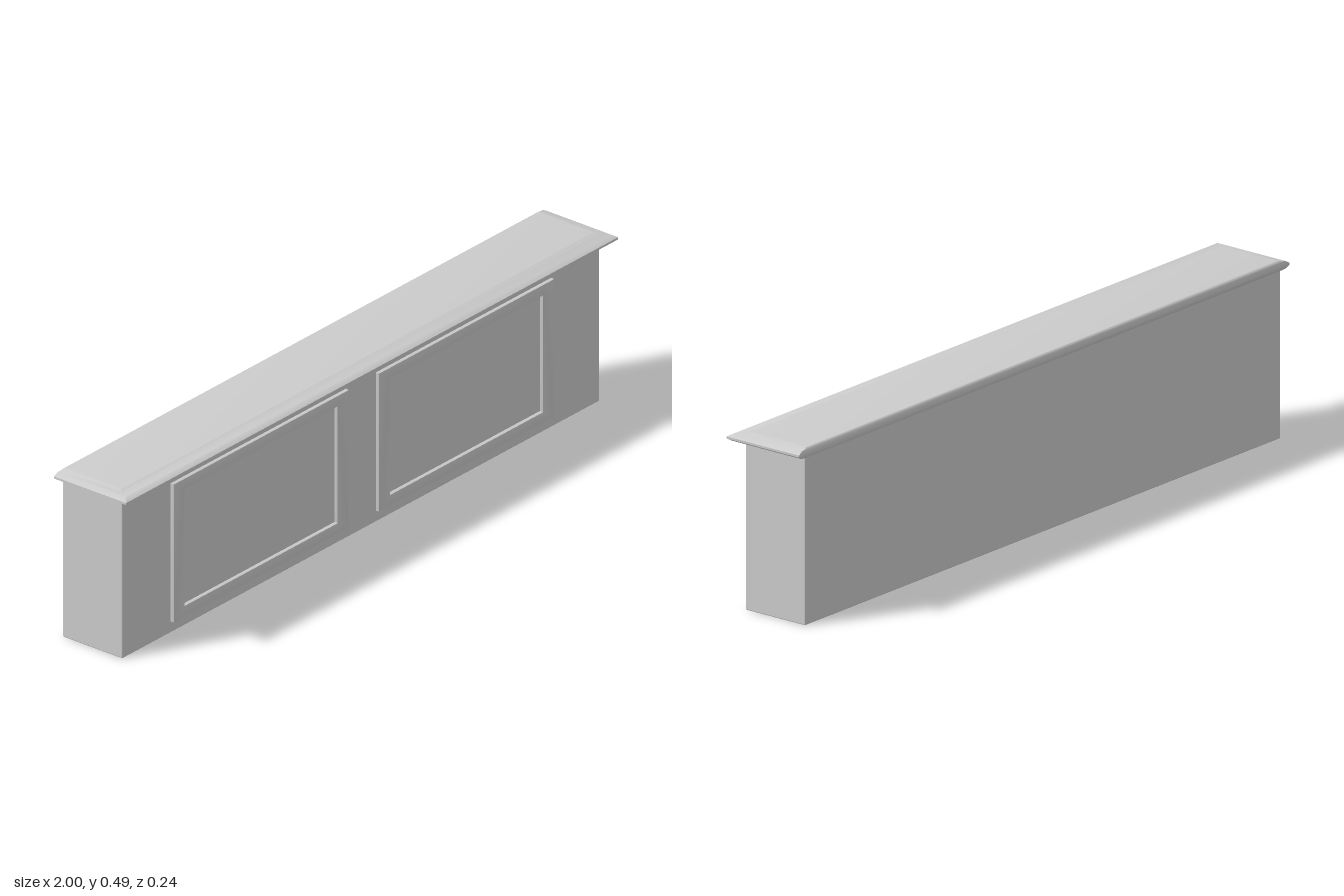
import * as THREE from 'three';
import { toCreasedNormals } from 'three/addons/utils/BufferGeometryUtils.js';
import { RoundedBoxGeometry } from 'three/addons/geometries/RoundedBoxGeometry.js';

const material = new THREE.MeshStandardMaterial({ color: 0xcccccc });

function addMesh(group, name, geometry) {
  const mesh = new THREE.Mesh(geometry, material);
  mesh.name = name;
  group.add(mesh);
  return mesh;
}

// Closed solid from stacked rectangles: [half width, front z, back z, y]
function stackRectangles(rings) {
  const positions = [];
  const index = [];
  for (const [hx, front, back, y] of rings) {
    positions.push(-hx, y, front, hx, y, front, hx, y, back, -hx, y, back);
  }
  for (let r = 0; r < rings.length - 1; r++) {
    for (let i = 0; i < 4; i++) {
      const a = r * 4 + i;
      const b = r * 4 + (i + 1) % 4;
      index.push(a, b, b + 4, a, b + 4, a + 4);
    }
  }
  const t = (rings.length - 1) * 4;
  index.push(0, 2, 1, 0, 3, 2, t, t + 1, t + 2, t, t + 2, t + 3);
  const geometry = new THREE.BufferGeometry();
  geometry.setAttribute('position', new THREE.Float32BufferAttribute(positions, 3));
  geometry.setIndex(index);
  return toCreasedNormals(geometry, 0.7);
}

function rectanglePath(path, x0, y0, x1, y1) {
  path.moveTo(x0, y0);
  path.lineTo(x1, y0);
  path.lineTo(x1, y1);
  path.lineTo(x0, y1);
  path.closePath();
  return path;
}

// Raised picture-frame moulding with softened edges
function frameGeometry() {
  const w = 0.356, h = 0.2, iw = 0.31, ih = 0.168;
  const shape = rectanglePath(new THREE.Shape(), -w, -h, w, h);
  shape.holes.push(rectanglePath(new THREE.Path(), -iw, -ih, iw, ih));
  const geometry = new THREE.ExtrudeGeometry(shape, {
    depth: 0.012, bevelThickness: 0.004, bevelSize: 0.004, bevelOffset: -0.004, bevelSegments: 2,
  });
  return toCreasedNormals(geometry, 0.7);
}

export function createModel() {
  const model = new THREE.Group();
  model.name = 'panelledCounter';

  // Main box
  const body = addMesh(model, 'body', new RoundedBoxGeometry(1.94, 0.47, 0.2, 2, 0.003));
  body.position.set(0, 0.235, -0.016);

  // Overhanging top with a moulded edge and a slightly raised centre
  addMesh(model, 'top', stackRectangles([
    [0.978, 0.106, -0.117, 0.459],
    [0.988, 0.112, -0.119, 0.461],
    [1.0, 0.122, -0.121, 0.468],
    [1.0, 0.122, -0.121, 0.474],
    [0.986, 0.108, -0.119, 0.482],
    [0.972, 0.082, -0.118, 0.4835],
    [0.966, 0.077, -0.115, 0.487],
    [0.958, 0.07, -0.11, 0.488],
  ]));

  // Two framed panels on the front
  const frame = frameGeometry();
  for (const side of [-1, 1]) {
    const mesh = addMesh(model, side > 0 ? 'leftPanelFrame' : 'rightPanelFrame', frame);
    mesh.position.set(side * 0.417, 0.232, 0.079);
  }
  return model;
}
